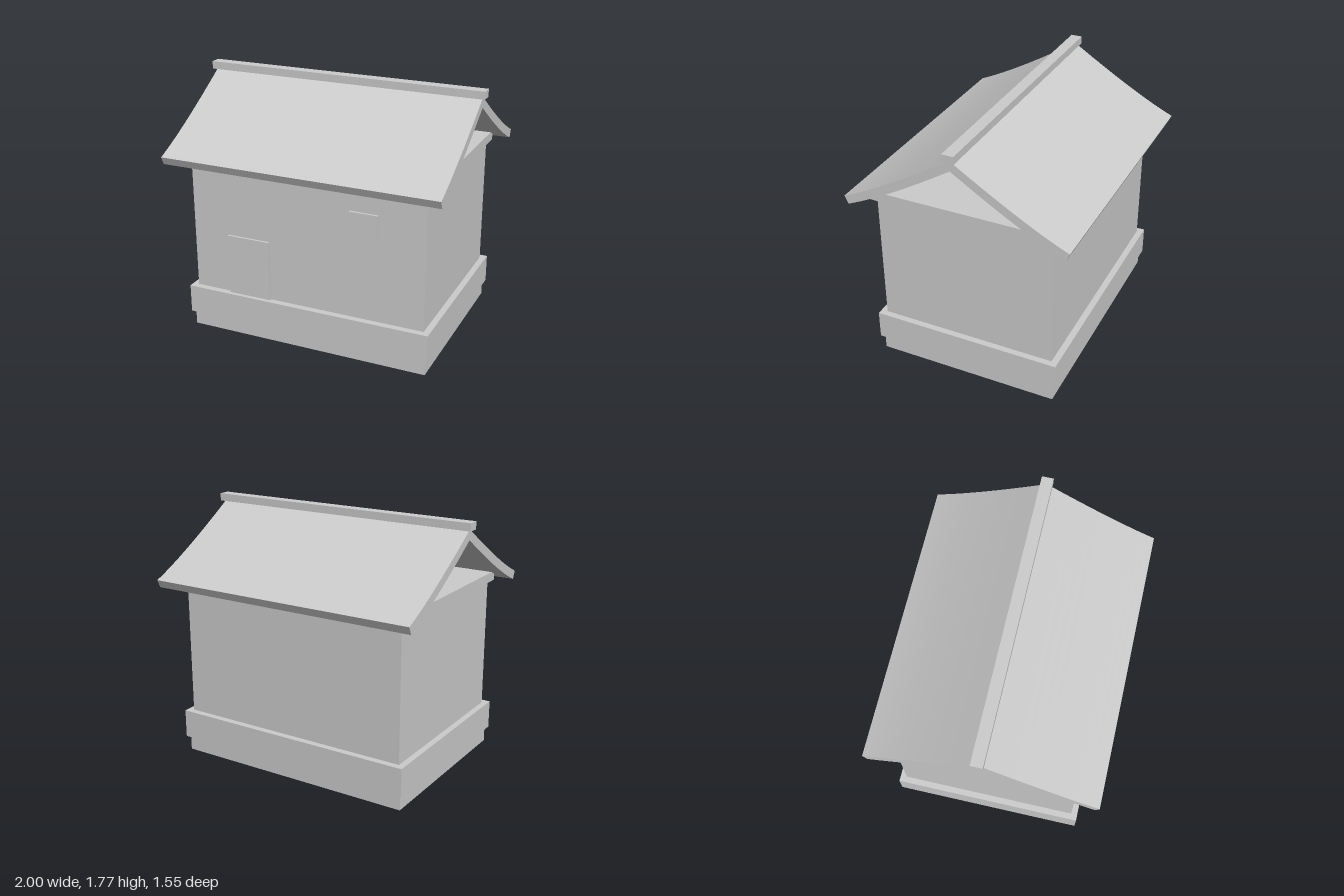
import * as THREE from 'three';
import { toCreasedNormals } from 'three/addons/utils/BufferGeometryUtils.js';

export function createModel() {
  const model = new THREE.Group();
  model.name = 'house';
  const grey = new THREE.MeshStandardMaterial({ color: 0xcccccc });
  grey.name = 'light grey';

  function add(name, geometry) {
    const mesh = new THREE.Mesh(geometry, grey);
    mesh.name = name;
    model.add(mesh);
  }

  // Box given by its limits along each axis
  function block(name, [x0, x1], [y0, y1], [z0, z1]) {
    const g = new THREE.BoxGeometry(x1 - x0, y1 - y0, z1 - z0);
    add(name, g.translate((x0 + x1) / 2, (y0 + y1) / 2, (z0 + z1) / 2));
  }

  // Box centred on x and z, given by half width and half depth
  const tier = (name, hx, y0, y1, hz) => block(name, [-hx, hx], [y0, y1], [-hz, hz]);

  // Stepped base, walls and the plate under the open gables
  tier('footing', 0.865, 0, 0.105, 0.64);
  tier('plinth', 0.885, 0.105, 0.305, 0.665);
  tier('walls', 0.842, 0.305, 1.23, 0.62);
  tier('wallPlate', 0.875, 1.23, 1.295, 0.655);

  // Door and window on the front wall
  block('door', [-0.577, -0.267], [0.305, 0.733], [0.61, 0.637]);
  block('window', [0.32, 0.52], [0.905, 1.06], [0.61, 0.637]);

  // Roof of two slopes that flare out towards the eaves
  const profile = new THREE.Shape();
  profile.moveTo(0, 1.72);
  profile.quadraticCurveTo(-0.503, 1.398, -0.777, 1.283);
  profile.lineTo(-0.752, 1.228);
  profile.quadraticCurveTo(-0.476, 1.343, 0, 1.65);
  profile.quadraticCurveTo(0.476, 1.343, 0.752, 1.228);
  profile.lineTo(0.777, 1.283);
  profile.quadraticCurveTo(0.503, 1.398, 0, 1.72);
  const roof = new THREE.ExtrudeGeometry(profile, { depth: 1.954, bevelEnabled: false, curveSegments: 14 });
  roof.translate(0, 0, -0.977).rotateY(Math.PI / 2);
  add('roof', toCreasedNormals(roof, 0.4));

  // Ridge beam along the top
  tier('ridgeBeam', 1, 1.715, 1.768, 0.04);

  return model;
}
